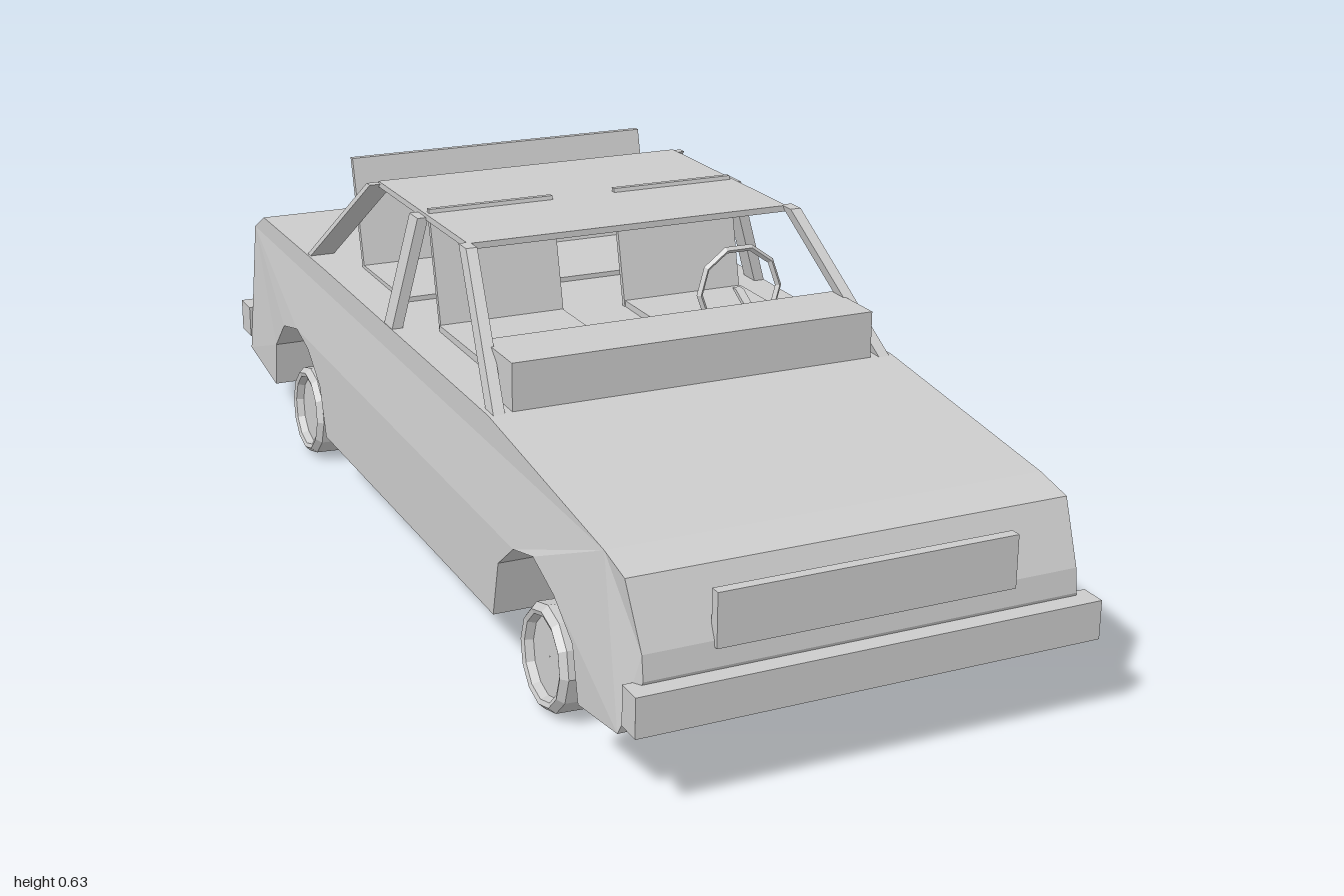
import * as THREE from 'three';

export function createModel() {
  const car = new THREE.Group();
  const mat = new THREE.MeshStandardMaterial({ color: 0xcccccc, flatShading: true, side: THREE.DoubleSide });

  const add = (name, geo, x = 0, y = 0, z = 0) => {
    const mesh = new THREE.Mesh(geo, mat);
    mesh.name = name;
    mesh.position.set(x, y, z);
    car.add(mesh);
    return mesh;
  };
  // Box given by its limits on each axis
  const block = (name, x0, x1, y0, y1, z0, z1) =>
    add(name, new THREE.BoxGeometry(x1 - x0, y1 - y0, z1 - z0), (x0 + x1) / 2, (y0 + y1) / 2, (z0 + z1) / 2);
  // Sheared box running from point a up to point b, w wide in x and d deep in z
  const beam = (name, a, b, w, d) => {
    const geo = new THREE.BoxGeometry(w, 1, d);
    const p = geo.attributes.position;
    for (let i = 0; i < p.count; i++) {
      const t = p.getY(i) + 0.5;
      p.setXYZ(i, p.getX(i) + a[0] + (b[0] - a[0]) * t, a[1] + (b[1] - a[1]) * t, p.getZ(i) + a[2] + (b[2] - a[2]) * t);
    }
    geo.computeVertexNormals();
    return add(name, geo);
  };

  // Body: side profile (z, y) with wheel arches, extruded across the car
  const profile = [
    [0.94, 0.12], [0.97, 0.21], [0.965, 0.25], [0.92, 0.35], [0.85, 0.365], [0.40, 0.418], [-0.45, 0.428],
    [-0.865, 0.428], [-0.935, 0.392], [-0.957, 0.27], [-0.94, 0.125], [-0.76, 0.10],
    [-0.745, 0.19], [-0.68, 0.25], [-0.59, 0.27], [-0.52, 0.25], [-0.45, 0.195], [-0.42, 0.10],
    [0.46, 0.10], [0.485, 0.2], [0.55, 0.25], [0.63, 0.27], [0.71, 0.24], [0.78, 0.19], [0.80, 0.10],
  ];
  const shape = new THREE.Shape(profile.map(([z, y]) => new THREE.Vector2(z, y)));
  const body = new THREE.ExtrudeGeometry(shape, { depth: 2, bevelEnabled: false });
  body.translate(0, 0, -1).rotateY(-Math.PI / 2);
  const bp = body.attributes.position;
  for (let i = 0; i < bp.count; i++) {
    // Sides lean in towards the beltline and taper at both ends
    const y = bp.getY(i), z = Math.abs(bp.getZ(i));
    const half = y > 0.33 ? 0.372 : z > 0.9 && y > 0.18 ? 0.366 : 0.392;
    bp.setX(i, Math.sign(bp.getX(i)) * half);
  }
  body.computeVertexNormals();
  add('body', body);

  // Bumpers, grille, lamps and rear cross member
  block('frontBumper', -0.392, 0.392, 0.14, 0.205, 0.955, 1);
  block('rearBumper', -0.392, 0.392, 0.15, 0.213, -1, -0.94);
  block('grille', -0.252, 0.252, 0.24, 0.328, 0.955, 0.973);
  block('rearCrossMember', -0.3, 0.3, 0.2, 0.275, -0.565, -0.475);

  // Roof, dashboard and rear seat
  block('roof', -0.302, 0.302, 0.615, 0.626, -0.32, 0.14);
  block('dashboard', -0.33, 0.33, 0.41, 0.5, 0.27, 0.4);
  block('rearSeatCushion', -0.3, 0.3, 0.42, 0.434, -0.44, -0.2);
  beam('rearSeatBack', [0, 0.425, -0.432], [0, 0.633, -0.483], 0.6, 0.012);

  // Steering wheel on the left
  const steering = add('steeringWheel', new THREE.TorusGeometry(0.077, 0.006, 4, 10), 0.177, 0.503, 0.205);
  steering.rotation.x = -0.08;
  beam('steeringColumn', [0.177, 0.46, 0.28], [0.177, 0.505, 0.2], 0.015, 0.015);

  // Wheel: tyre with a lip and a recessed disc, open on the inner side
  const tyre = new THREE.LatheGeometry([
    [0.001, 0.03], [0.066, 0.03], [0.07, 0.044], [0.078, 0.047], [0.088, 0.036],
    [0.088, -0.036], [0.078, -0.047], [0.07, -0.045], [0.066, 0.0], [0.001, 0.0],
  ].map(([r, h]) => new THREE.Vector2(r, h)), 12);

  // Mirrored parts
  for (const s of [1, -1]) {
    const side = s > 0 ? 'left' : 'right';
    beam(side + 'FrontPillar', [s * 0.355, 0.415, 0.39], [s * 0.306, 0.626, 0.15], 0.02, 0.035);
    beam(side + 'MiddlePillar', [s * 0.362, 0.42, -0.085], [s * 0.308, 0.62, -0.085], 0.02, 0.042);
    beam(side + 'RearPillar', [s * 0.345, 0.425, -0.565], [s * 0.298, 0.622, -0.32], 0.048, 0.018);
    block(side + 'FrontSeatCushion', s * 0.18 - 0.118, s * 0.18 + 0.118, 0.415, 0.434, -0.02, 0.185);
    beam(side + 'FrontSeatBack', [s * 0.178, 0.42, -0.022], [s * 0.178, 0.633, -0.072], 0.235, 0.01);
    block(side + 'TailLamp', s * 0.275 - 0.068, s * 0.275 + 0.068, 0.325, 0.37, -0.966, -0.93);
    for (const [end, z] of [['Front', 0.63], ['Rear', -0.59]]) {
      const wheel = add(side + end + 'Wheel', tyre, s * 0.335, 0.095, z);
      wheel.rotation.z = -s * (Math.PI / 2 - 0.04);
    }
  }
  // Rest the wheels exactly on the ground
  const box = new THREE.Box3().setFromObject(car, true);
  for (const part of car.children) part.position.y -= box.min.y;
  return car;
}
